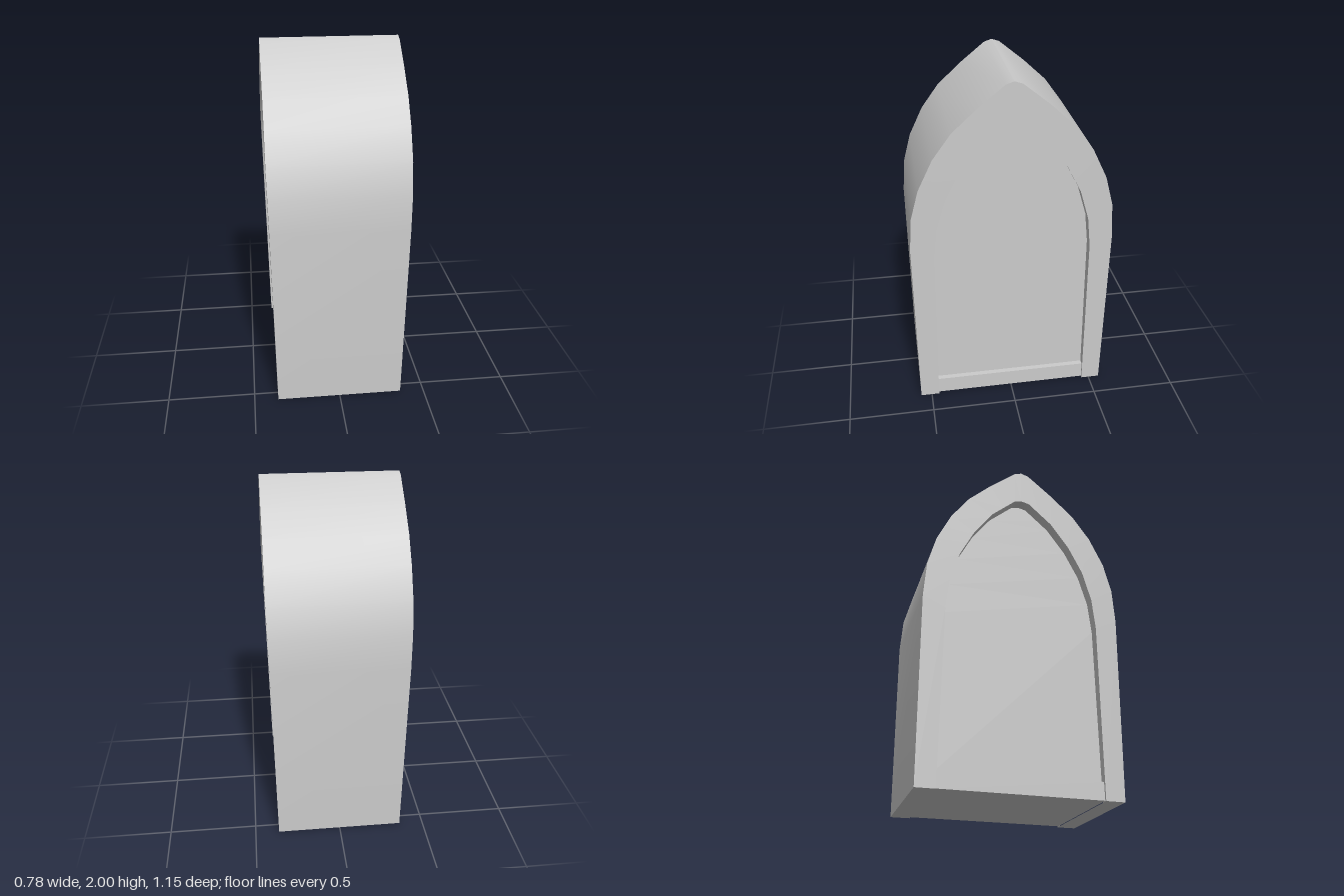
import * as THREE from 'three';
import { toCreasedNormals } from 'three/addons/utils/BufferGeometryUtils.js';

const material = new THREE.MeshStandardMaterial({ color: 0xcccccc });

// Half arches as [z, y], from the foot to the peak
const OUTER = [[0.565, 0], [0.573, 1.06], [0.558, 1.26], [0.512, 1.43], [0.43, 1.6],
  [0.328, 1.74], [0.193, 1.865], [0.045, 1.985], [0, 2]];
const INNER = [[0.455, 0], [0.445, 1.0], [0.425, 1.18], [0.373, 1.355], [0.29, 1.515],
  [0.183, 1.66], [0.114, 1.72], [0.045, 1.78], [0, 1.79]];
const PANEL_X = 0.32, SILL_X = 0.35, SILL_TOP = 0.105, SILL_BOTTOM = 0.004;

// The block widens gently from its foot to the spring of the arch
const halfWidth = (y) => 0.362 + 0.026 * Math.min(1, y / 1.43);

// Place [z, y] points on the leaning +x face, or on an upright plane at x
const line = (points, x) => points.map(([z, y]) => new THREE.Vector3(x ?? halfWidth(y), y, z));
const mirrorZ = (points) => points.map(([z, y]) => [-z, y]);
const mirrorX = (points) => points.map((v) => new THREE.Vector3(-v.x, v.y, v.z));
const fullArch = (half) => [...half, ...mirrorZ(half.slice(0, -1)).reverse()];

// Skin between two lines with the same number of points
function strip(name, a, b) {
  const n = a.length, index = [];
  for (let i = 0; i < n - 1; i++) {
    index.push(i, i + 1, n + i, i + 1, n + i + 1, n + i);
  }
  const geometry = new THREE.BufferGeometry().setFromPoints([...a, ...b]);
  geometry.setIndex(index);
  const mesh = new THREE.Mesh(toCreasedNormals(geometry, 0.5), material);
  mesh.name = name;
  return mesh;
}

// One recessed arched face: leaning frame, reveal, upright panel and sill
function createFace(name) {
  const face = new THREE.Group();
  face.name = name;
  const outer = fullArch(OUTER), inner = fullArch(INNER);
  const panel = [[0.454, SILL_TOP], ...INNER.slice(1)];
  const sill = (z) => [
    new THREE.Vector3(SILL_X, SILL_BOTTOM, z),
    new THREE.Vector3(SILL_X, SILL_TOP, z),
    new THREE.Vector3(PANEL_X, SILL_TOP, z),
  ];
  face.add(
    strip('archFrame', line(inner), line(outer)),
    strip('archReveal', line(inner, PANEL_X), line(inner)),
    strip('panel', line(mirrorZ(panel), PANEL_X), line(panel, PANEL_X)),
    strip('sill', sill(-0.455), sill(0.455)),
  );
  return face;
}

export function createModel() {
  const model = new THREE.Group();
  model.name = 'archedBlock';

  // Walls and pointed vault
  const shell = line(fullArch(OUTER));
  model.add(strip('vaultedShell', shell, mirrorX(shell)));

  // Underside of the two feet and of the floor between them
  const addUnderside = (name, z0, z1, y, x) => {
    const edge = line([[z0, y], [z1, y]], x);
    model.add(strip(name, edge, mirrorX(edge)));
  };
  addUnderside('backFoot', -0.565, -0.455, 0);
  addUnderside('floor', -0.455, 0.455, SILL_BOTTOM, SILL_X);
  addUnderside('frontFoot', 0.455, 0.565, 0);

  // Matching faces on both sides
  const left = createFace('leftFace');
  const right = createFace('rightFace');
  right.rotation.y = Math.PI;
  model.add(left, right);
  return model;
}
